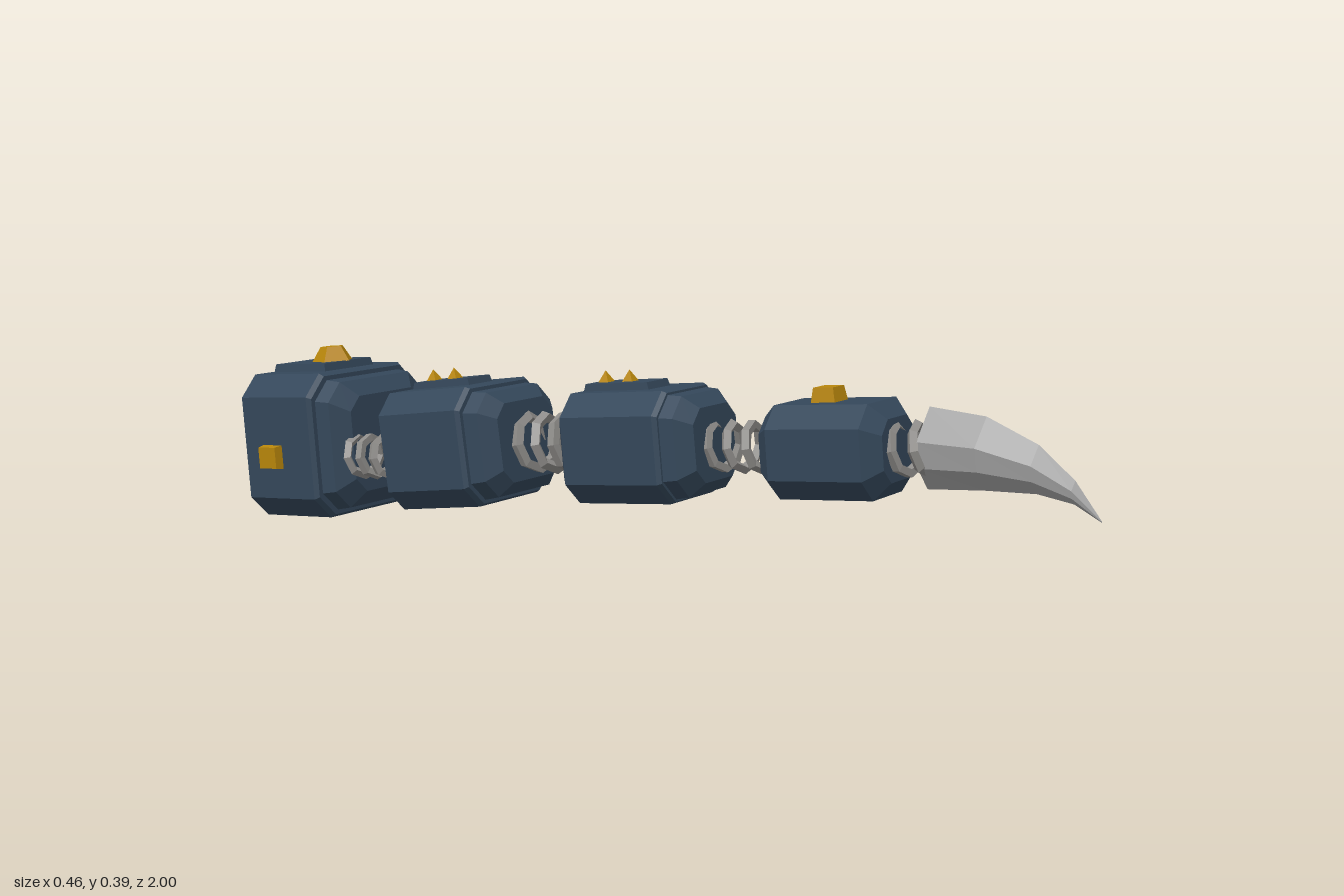
import * as THREE from 'three';

const paint = (name, color) => {
  const m = new THREE.MeshStandardMaterial({ color, flatShading: true });
  m.name = name;
  return m;
};
const armour = paint('dark slate armour', 0x34475a);
const gold = paint('gold', 0xb8860b);
const bone = paint('claw grey', 0xa3a3a3);
const steel = paint('spring grey', 0x8f8d8a);

function add(parent, name, geometry, material, x = 0, y = 0, z = 0) {
  const mesh = new THREE.Mesh(geometry, material);
  mesh.name = name;
  mesh.position.set(x, y, z);
  parent.add(mesh);
  return mesh;
}

// Skin a row of cross-sections (counter-clockwise, running towards +z) and cap both ends
function loft(sections) {
  const pos = [];
  const tri = (...pts) => pts.forEach((p) => pos.push(...p));
  const n = sections[0].length;
  for (let i = 0; i < sections.length - 1; i++) {
    for (let j = 0; j < n; j++) {
      const k = (j + 1) % n;
      const [a, b, c, d] = [sections[i][j], sections[i][k], sections[i + 1][k], sections[i + 1][j]];
      tri(a, b, c);
      tri(a, c, d);
    }
  }
  const first = sections[0], last = sections[sections.length - 1];
  for (let j = 1; j < n - 1; j++) {
    tri(first[0], first[j + 1], first[j]);
    tri(last[0], last[j], last[j + 1]);
  }
  const g = new THREE.BufferGeometry();
  g.setAttribute('position', new THREE.Float32BufferAttribute(pos, 3));
  g.computeVertexNormals();
  return g;
}

// Rectangle with cut corners
function octagon(w, h, cut, z) {
  const a = w / 2, b = h / 2;
  return [[a, -b + cut, z], [a, b - cut, z], [a - cut, b, z], [-a + cut, b, z],
    [-a, b - cut, z], [-a, -b + cut, z], [-a + cut, -b, z], [a - cut, -b, z]];
}

// Armoured block: steps are [z, scale] pairs
const block = (w, h, cut, steps) => loft(steps.map(([z, s]) => octagon(w * s, h * s, cut * s, z)));

// Box whose top face is smaller than its base
function taperedBox(w, h, d, top) {
  const g = new THREE.BoxGeometry(w, h, d);
  const p = g.attributes.position;
  for (let i = 0; i < p.count; i++) {
    if (p.getY(i) > 0) p.setXYZ(i, p.getX(i) * top, p.getY(i), p.getZ(i) * top);
  }
  g.computeVertexNormals();
  return g;
}

class Helix extends THREE.Curve {
  constructor(radius, length, turns) {
    super();
    Object.assign(this, { radius, length, turns });
  }
  getPoint(t, out = new THREE.Vector3()) {
    const a = t * this.turns * Math.PI * 2;
    return out.set(this.radius * Math.cos(a), this.radius * Math.sin(a), t * this.length);
  }
}

// Coil spring between two points
function spring(parent, name, from, to, radius, turns, wire) {
  const a = new THREE.Vector3(...from), b = new THREE.Vector3(...to);
  const g = new THREE.TubeGeometry(new Helix(radius, a.distanceTo(b), turns), turns * 8, wire, 4);
  const mesh = add(parent, name, g, steel, ...from);
  mesh.quaternion.setFromUnitVectors(new THREE.Vector3(0, 0, 1), b.sub(a).normalize());
}

export function createModel() {
  const model = new THREE.Group();
  model.name = 'segmentedTail';

  const segments = [
    { name: 'baseSegment', at: [-0.028, 0.178, -0.83], pitch: -0.07, w: 0.36, h: 0.325, cut: 0.048,
      steps: [[-0.1, 1], [0.1, 1], [0.11, 0.96], [0.11, 0.9], [0.145, 0.87], [0.175, 0.66]] },
    { name: 'secondSegment', at: [0.018, 0.2, -0.42], pitch: -0.13, w: 0.295, h: 0.258, cut: 0.045,
      steps: [[-0.15, 0.84], [-0.13, 1], [0.085, 1], [0.095, 0.96], [0.095, 0.9], [0.13, 0.87], [0.158, 0.66]] },
    { name: 'thirdSegment', at: [0.065, 0.237, 0.045], pitch: -0.09, w: 0.245, h: 0.228, cut: 0.045,
      steps: [[-0.15, 0.8], [-0.13, 1], [0.095, 1], [0.105, 0.96], [0.105, 0.92], [0.135, 0.89], [0.165, 0.66]] },
    { name: 'tipSegment', at: [0.113, 0.262, 0.478], pitch: -0.08, w: 0.205, h: 0.183, cut: 0.042,
      steps: [[-0.13, 0.74], [-0.1, 1], [0.1, 1], [0.13, 0.66]] },
  ];
  const [base, second, third, tip] = segments.map((s) => {
    const group = new THREE.Group();
    group.name = s.name;
    group.position.set(...s.at);
    group.rotation.set(s.pitch, 0.1, 0.02, 'YXZ');
    add(group, 'armourBlock', block(s.w, s.h, s.cut, s.steps), armour);
    model.add(group);
    return group;
  });

  // Base: saddle, gold boss, side studs and mounting hub
  add(base, 'saddle', taperedBox(0.17, 0.04, 0.17, 0.9), armour, 0, 0.16, -0.01);
  add(base, 'topBoss', new THREE.CylinderGeometry(0.027, 0.049, 0.034, 5), gold, 0, 0.196, 0.022);
  for (const side of [-1, 1]) {
    const stud = add(base, 'sideStud', taperedBox(0.056, 0.03, 0.06, 0.85), gold, side * 0.185, -0.02, -0.016);
    stud.rotation.z = -side * Math.PI / 2;
  }
  add(base, 'mountingHub', block(0.155, 0.14, 0.04, [[-0.17, 0.75], [-0.155, 0.88], [-0.09, 1]]), armour, 0.004, -0.025, 0);

  // Middle segments: narrow saddle with two small spikes
  for (const [seg, top, z] of [[second, 0.129, -0.035], [third, 0.114, -0.042]]) {
    add(seg, 'saddle', taperedBox(0.085, 0.03, 0.17, 0.9), armour, 0, top, z);
    for (const dz of [-0.05, 0.01]) {
      const spike = add(seg, 'spike', new THREE.ConeGeometry(0.019, 0.026, 4), gold, 0, top + 0.026, z + dz);
      spike.rotation.y = Math.PI / 4;
    }
  }
  add(tip, 'topStud', taperedBox(0.056, 0.036, 0.054, 0.8), gold, 0, 0.102, -0.012);

  // Springs joining the segments
  for (const dx of [-0.11, 0, 0.11]) {
    spring(model, 'baseSpring', [dx - 0.003, 0.16, -0.7], [dx + 0.003, 0.17, -0.54], 0.042, 4, 0.011);
  }
  spring(model, 'middleSpring', [0.035, 0.212, -0.275], [0.052, 0.228, -0.085], 0.056, 4, 0.013);
  spring(model, 'upperSpring', [0.083, 0.243, 0.19], [0.1, 0.255, 0.37], 0.045, 4, 0.011);
  spring(model, 'clawSpring', [0.125, 0.27, 0.59], [0.133, 0.278, 0.68], 0.046, 2, 0.011);

  // Claw: six-sided sections [z, x, half width, bottom, top]
  const outline = [[0.8, -0.45], [1, 0.2], [0, 1], [-1, 0.2], [-0.8, -0.45], [0, -1]];
  const claw = [
    [0.665, 0.135, 0.045, 0.2, 0.356], [0.78, 0.143, 0.042, 0.209, 0.346],
    [0.88, 0.155, 0.029, 0.212, 0.302], [0.95, 0.163, 0.015, 0.2, 0.243], [1, 0.17, 0.001, 0.172, 0.175],
  ].map(([z, x, hw, lo, hi]) => outline.map(([u, v]) => [x + u * hw, (lo + hi) / 2 + v * (hi - lo) / 2, z]));
  add(model, 'claw', loft(claw), bone);

  return model;
}
